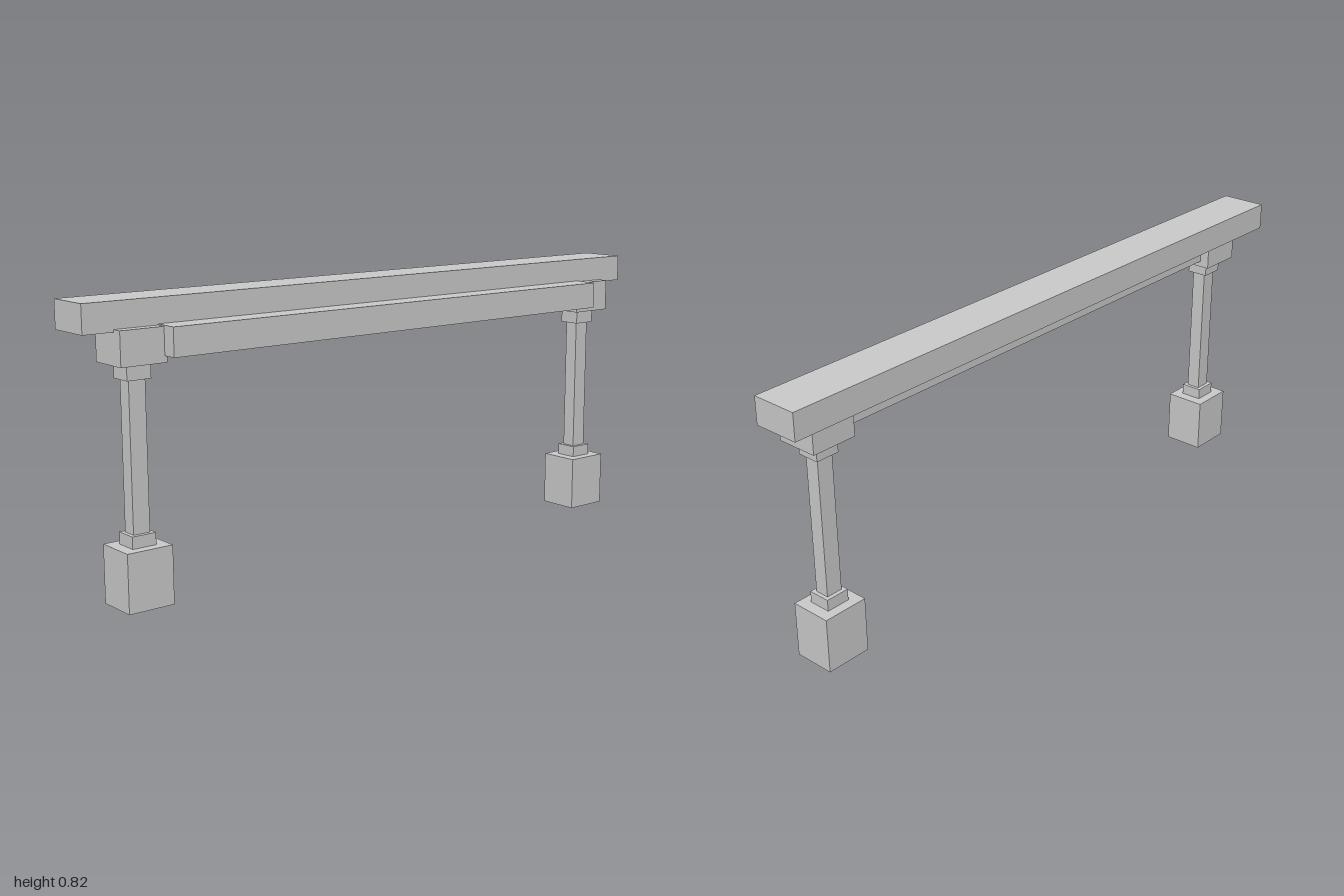
import * as THREE from 'three';

const material = new THREE.MeshStandardMaterial({ color: 0xcccccc, flatShading: true });

// Box given by its centre in x and z, its bottom and top heights, and its width and depth
function block(name, x, z, bottom, top, width, depth) {
  const mesh = new THREE.Mesh(new THREE.BoxGeometry(width, top - bottom, depth), material);
  mesh.name = name;
  mesh.position.set(x, (bottom + top) / 2, z);
  return mesh;
}

// Post standing on a block footing, with collars and a capital
function createPost(name, x) {
  const post = new THREE.Group();
  post.name = name;
  post.position.x = x;
  post.add(
    block('footing', 0, 0, 0, 0.165, 0.138, 0.125),
    block('lowerCollar', 0, 0, 0.165, 0.199, 0.072, 0.067),
    block('shaft', 0, 0, 0.199, 0.612, 0.05, 0.043),
    block('upperCollar', 0, 0, 0.612, 0.654, 0.072, 0.067),
    block('capital', 0, 0, 0.654, 0.749, 0.138, 0.125)
  );
  return post;
}

export function createModel() {
  const model = new THREE.Group();
  model.name = 'postAndBeamFrame';

  // Mirrored posts
  model.add(createPost('leftPost', 0.841), createPost('rightPost', -0.841));

  // Long beam set to the back, resting on the capitals
  model.add(block('topBeam', 0, -0.037, 0.742, 0.822, 2, 0.14));

  // Shorter beam set forward between the capitals
  model.add(block('frontBeam', 0.011, 0.037, 0.672, 0.752, 1.582, 0.14));

  return model;
}
